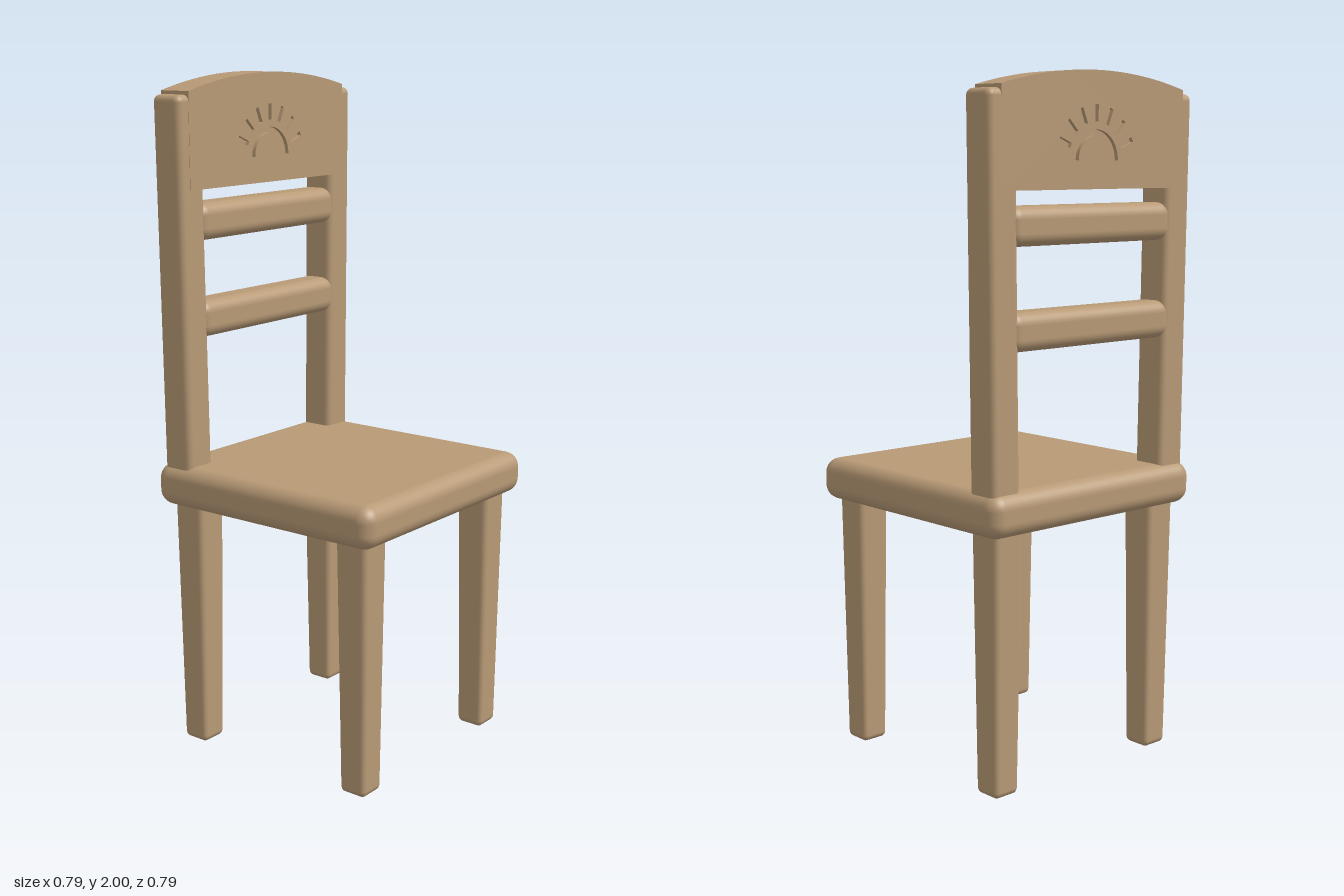
import * as THREE from 'three';
import { RoundedBoxGeometry } from 'three/addons/geometries/RoundedBoxGeometry.js';

const BACK_Z = -0.32;

export function createModel() {
  const group = new THREE.Group();
  const wood = new THREE.MeshStandardMaterial({ color: 0xb89a76 });
  wood.name = 'wood';

  const add = (name, geometry, x = 0, y = 0, z = 0) => {
    const mesh = new THREE.Mesh(geometry, wood);
    mesh.name = name;
    mesh.position.set(x, y, z);
    group.add(mesh);
    return mesh;
  };

  // Moves each vertex by a rule driven by its height, t = 0 at the bottom and 1 at the top
  const shape = (geometry, height, rule) => {
    const p = geometry.attributes.position;
    for (let i = 0; i < p.count; i++) {
      const [x, z] = rule(p.getX(i), p.getZ(i), p.getY(i) / height + 0.5);
      p.setX(i, x);
      p.setZ(i, z);
    }
    return geometry;
  };

  // Seat
  add('seat', new RoundedBoxGeometry(0.79, 0.125, 0.79, 5, 0.045), 0, 0.8125, 0);

  for (const side of [1, -1]) {
    const label = side > 0 ? 'left' : 'right';

    // Legs, tapering towards the floor
    for (const end of [1, -1]) {
      const leg = new RoundedBoxGeometry(0.106, 0.79, 0.106, 3, 0.018);
      shape(leg, 0.79, (x, z, t) => {
        const s = 0.81 + 0.19 * t;
        return [x * s, z * s];
      });
      add(label + (end > 0 ? 'FrontLeg' : 'BackLeg'), leg, side * 0.302, 0.395, end * 0.302);
    }

    // Back posts, leaning slightly outwards
    const post = new RoundedBoxGeometry(0.102, 1.115, 0.102, 3, 0.02);
    shape(post, 1.115, (x, z, t) => [x + side * 0.015 * t, z]);
    add(label + 'BackPost', post, side * 0.325, 1.3875, BACK_Z);
  }

  // Cross slats
  [['upperSlat', 1.585], ['lowerSlat', 1.303]].forEach(([name, y]) =>
    add(name, new RoundedBoxGeometry(0.62, 0.108, 0.11, 4, 0.035), 0, y, BACK_Z));

  // Crest panel outline with an arched top
  const half = 0.348, bottom = 1.68, radius = 1.368;
  const outline = () => {
    const a = Math.asin(half / radius);
    const s = new THREE.Shape();
    s.moveTo(-half, bottom);
    s.lineTo(half, bottom);
    s.absarc(0, 2 - radius, radius, Math.PI / 2 - a, Math.PI / 2 + a, false);
    s.closePath();
    return s;
  };

  // Rising sun: a half ring and seven rays cut into each face
  const sunY = 1.757;
  const ring = new THREE.Path();
  ring.absarc(0, sunY, 0.084, 0, Math.PI, false);
  ring.absarc(0, sunY, 0.068, Math.PI, 0, true);
  ring.closePath();
  const holes = [ring];
  for (let i = 1; i <= 7; i++) {
    const a = (i * Math.PI) / 8, c = Math.cos(a), s = Math.sin(a), w = 0.007;
    holes.push(new THREE.Path([[0.105, -w], [0.152, -w], [0.152, w], [0.105, w]].map(
      ([r, v]) => new THREE.Vector2(r * c - v * s, sunY + r * s + v * c))));
  }

  const depth = 0.104, cut = 0.012;
  const extrude = (s, d) =>
    new THREE.ExtrudeGeometry(s, { depth: d, bevelEnabled: false, curveSegments: 20 });
  const carved = outline();
  carved.holes.push(...holes);
  add('crestCore', extrude(outline(), depth - 2 * cut), 0, 0, BACK_Z - depth / 2 + cut);
  add('crestFrontFace', extrude(carved, cut), 0, 0, BACK_Z + depth / 2 - cut);
  add('crestBackFace', extrude(carved, cut), 0, 0, BACK_Z - depth / 2);

  return group;
}
